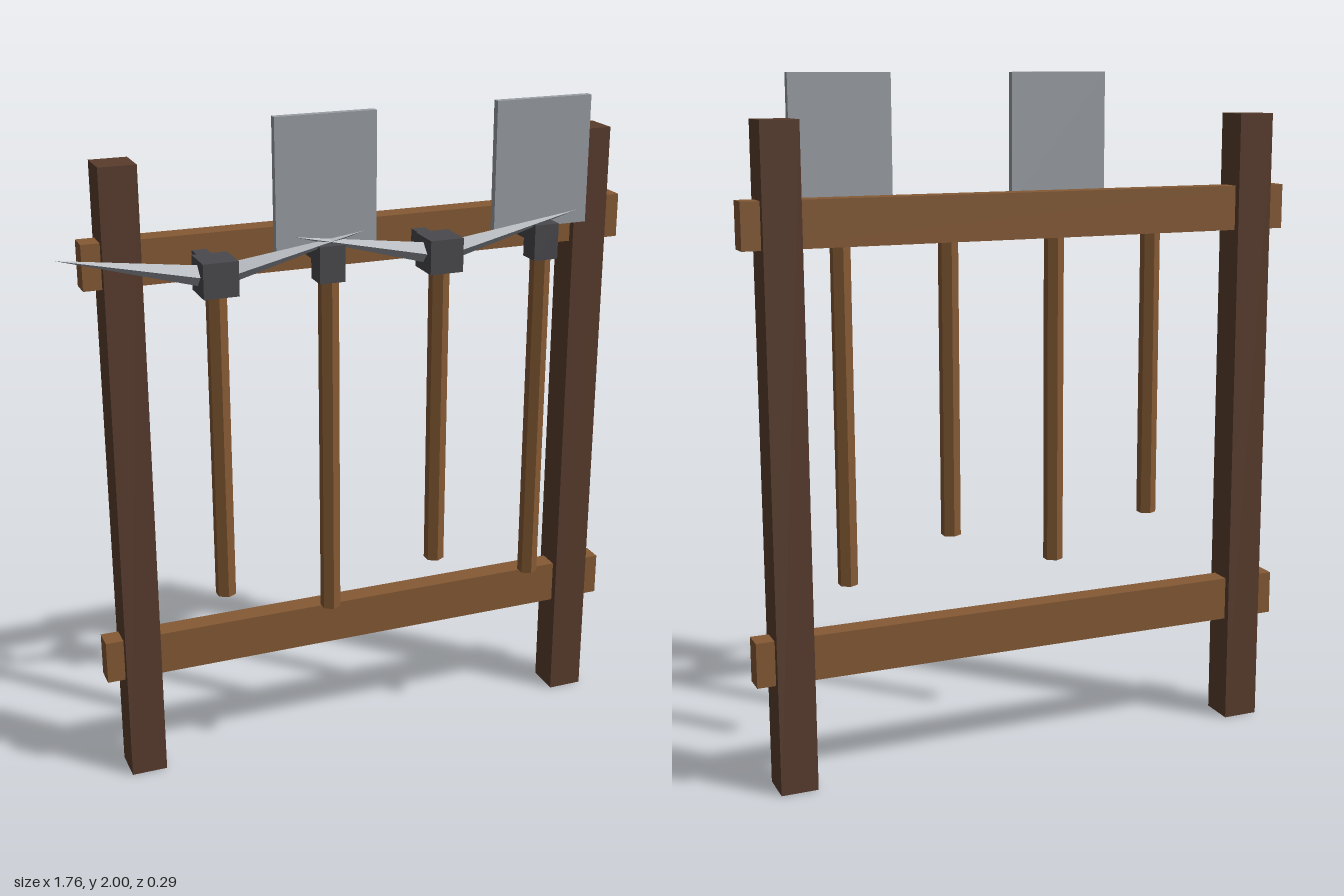
import * as THREE from 'three';

const mat = (name, color) => {
  const m = new THREE.MeshStandardMaterial({ color });
  m.name = name;
  return m;
};

// Split shared corners so every facet is flat
const facet = (geometry) => {
  const g = geometry.toNonIndexed();
  g.computeVertexNormals();
  return g;
};

export function createModel() {
  const darkWood = mat('darkWood', 0x5a3d2e);
  const wood = mat('wood', 0x855a35);
  const steel = mat('steel', 0x9a9fa5);
  const iron = mat('iron', 0x4a4a4e);

  const rack = new THREE.Group();
  rack.name = 'toolRack';

  const add = (parent, name, geometry, material, x, y, z) => {
    const mesh = new THREE.Mesh(geometry, material);
    mesh.name = name;
    mesh.position.set(x, y, z);
    parent.add(mesh);
    return mesh;
  };
  const box = (parent, name, material, size, pos) =>
    add(parent, name, new THREE.BoxGeometry(...size), material, ...pos);

  // Six-sided wooden handle between two heights
  const handle = (parent, bottom, top) =>
    add(parent, 'handle', facet(new THREE.CylinderGeometry(0.03, 0.03, top - bottom, 6)),
      wood, 0, (top + bottom) / 2, 0);

  // Frame: two posts and two cross beams
  box(rack, 'rightPost', darkWood, [0.108, 1.88, 0.108], [-0.67, 0.94, -0.095]);
  box(rack, 'leftPost', darkWood, [0.108, 1.88, 0.108], [0.768, 0.94, -0.095]);
  box(rack, 'lowerBeam', wood, [1.653, 0.131, 0.065], [0.049, 0.388, -0.096]);
  box(rack, 'upperBeam', wood, [1.653, 0.131, 0.065], [0.049, 1.604, -0.096]);

  const makePickaxe = () => {
    const pick = new THREE.Group();
    pick.name = 'pickaxe';
    handle(pick, 0.635, 1.56);
    box(pick, 'pickSocket', iron, [0.1, 0.098, 0.108], [0, 1.591, 0]);
    // Two four-sided spikes rising outwards
    const rise = 0.089, reach = 0.433;
    for (const side of [-1, 1]) {
      const length = Math.hypot(rise, reach);
      const spike = new THREE.ConeGeometry(0.032, length, 4).translate(0, length / 2, 0);
      add(pick, 'pickSpike', facet(spike), steel, 0, 1.586, 0)
        .rotation.z = -side * Math.atan2(reach, rise);
    }
    return pick;
  };

  const makeShovel = () => {
    const shovel = new THREE.Group();
    shovel.name = 'shovel';
    handle(shovel, 0.525, 1.56);
    box(shovel, 'shovelSocket', iron, [0.075, 0.105, 0.07], [0, 1.592, 0]);
    box(shovel, 'shovelBlade', steel, [0.296, 0.37, 0.023], [0, 1.815, -0.021]);
    return shovel;
  };

  // Hanging pegs with alternating tools
  [-0.447, -0.116, 0.214, 0.545].forEach((x, i) => {
    box(rack, 'peg', iron, [0.042, 0.042, 0.1], [x, 1.604, -0.023]);
    const tool = i % 2 ? makeShovel() : makePickaxe();
    tool.position.set(x, 0, i % 2 ? 0.073 : 0.09);
    rack.add(tool);
  });

  return rack;
}
